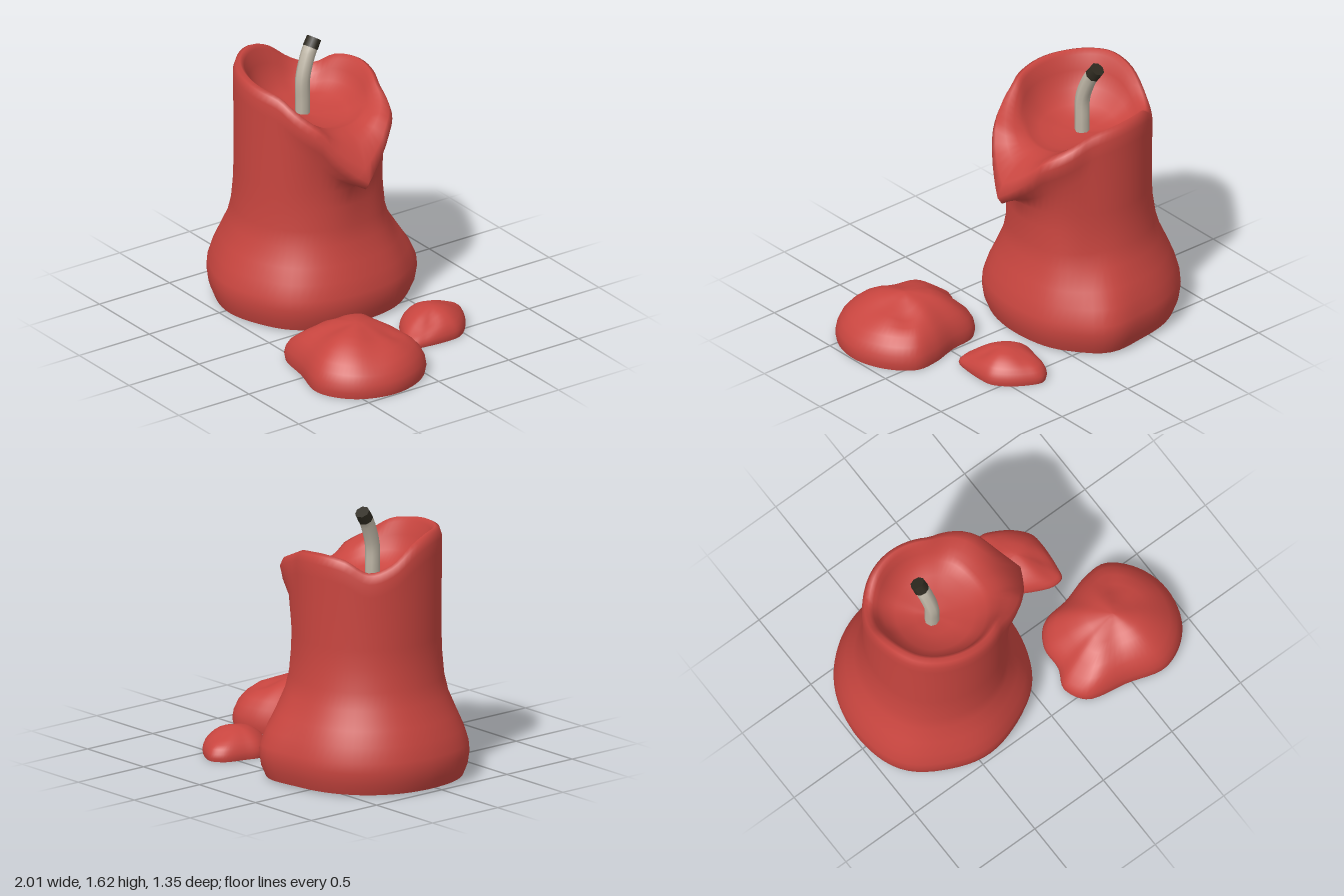
import * as THREE from 'three';

const V = (x, y, z) => new THREE.Vector3(x, y, z);
const mix = THREE.MathUtils.lerp;
const smooth = THREE.MathUtils.smoothstep;
const bump = (s, centre, width) => Math.exp(-(((s - centre) / width) ** 2));
const N = 72;

// Skin a list of closed rings (each N points, ordered from +x towards +z).
function loft(rings) {
  const pos = [], index = [];
  rings.forEach(ring => ring.forEach(p => pos.push(p.x, p.y, p.z)));
  for (let r = 0; r < rings.length - 1; r++) {
    for (let i = 0; i < N; i++) {
      const a = r * N + i, b = r * N + (i + 1) % N;
      index.push(a, a + N, b, b, a + N, b + N);
    }
  }
  const g = new THREE.BufferGeometry();
  g.setAttribute('position', new THREE.Float32BufferAttribute(pos, 3));
  g.setIndex(index);
  g.computeVertexNormals();
  return g;
}

// Rim height every 20 degrees, starting at the pouring lip (+x) towards +z.
const rimCurve = new THREE.CatmullRomCurve3(
  [1.21, 1.25, 1.34, 1.43, 1.46, 1.48, 1.49, 1.5, 1.5, 1.45, 1.35, 1.31, 1.38, 1.4, 1.39, 1.36, 1.29, 1.22]
    .map(h => V(0, h, 0)), true, 'catmullrom');

function candleBody() {
  // f returns [radius, height]; w is the lip's reach, d its droop, s the angle
  const ring = f => Array.from({ length: N }, (_, i) => {
    const t = i / N, a = t * Math.PI * 2;
    const s = a > Math.PI ? a - Math.PI * 2 : a;
    const w = Math.max(0, 1 - Math.abs(s));
    const d = Math.max(0, 1 - Math.abs(s) / 0.45);
    const [r, y] = f(rimCurve.getPoint(t).y, w, d);
    const k = smooth(y, 0.3, 0.8), foot = 1 - smooth(y, 0.2, 0.6);
    // uneven sagging of the foot and a slight fullness higher up
    const swell = 1 + foot * (0.13 * bump(s, -1.12, 0.3) + 0.03 * bump(s, 2.5, 0.4)
      + 0.05 * bump(s, 0.75, 0.4) + 0.04 * bump(s, 1.6, 0.4))
      + 0.065 * bump(s, -0.63, 0.35) + 0.025 * bump(s, 2.5, 0.4)
      + 0.05 * bump(s, 0, 0.3) * bump(y, 0.86, 0.12);
    return V(mix(-0.44, -0.42, k) + swell * r * Math.cos(a), y, mix(-0.085, -0.07, k) + swell * r * Math.sin(a));
  });
  const wall = [[0, 0.015], [0.53, 0.015], [0.53, 0.015], [0.555, 0.08], [0.565, 0.15], [0.56, 0.21],
    [0.535, 0.3], [0.5, 0.39], [0.458, 0.5], [0.437, 0.6], [0.425, 0.74], [0.422, 0.85]];
  const rings = wall.map(p => ring(() => p));
  // outer rim, lip, inner wall and sloping pool
  [
    (h, w, d) => [0.423 + 0.05 * w, mix(h - 0.24, 0.89, d)],
    (h, w, d) => [0.425 + 0.14 * w, mix(h - 0.14, 0.9, d)],
    (h, w, d) => [0.425 + 0.18 * w, mix(h - 0.06, 0.95, d)],
    (h, w, d) => [0.41 + 0.17 * w, mix(h - 0.012, 1.03, d)],
    (h, w, d) => [0.385 + 0.11 * w, mix(h, 1.14, d)],
    (h, w) => [0.36 + 0.05 * w, h - 0.025],
    h => [0.335, mix(1.17, h, 0.65)],
    h => [0.3, mix(1.17, h, 0.35)],
    h => [0.23, mix(1.16, h, 0.15)],
    h => [0.12, mix(1.16, h, 0.04)],
    () => [0, 1.16],
  ].forEach(f => rings.push(ring(f)));
  return loft(rings);
}

// Flat-bottomed wax drip from a ground outline; dents are [x, z, radius, depth].
function waxDrip(outline, [cx, cz], height, dents) {
  const curve = new THREE.CatmullRomCurve3(outline.map(([x, z]) => V(x, 0, z)), true);
  const edge = Array.from({ length: N }, (_, i) => curve.getPoint(i / N));
  const profile = [[0, 0], [0.98, 0], [0.98, 0], [1, 0.13], [0.98, 0.28], [0.92, 0.45], [0.82, 0.6],
    [0.68, 0.75], [0.52, 0.87], [0.37, 0.94], [0.2, 0.98], [0.08, 1], [0, 1]];
  return loft(profile.map(([s, t]) => edge.map(p => {
    const x = mix(cx, p.x, s), z = mix(cz, p.z, s);
    let y = t * height;
    for (const [dx, dz, r, d] of dents) y -= t * d * Math.exp(-((x - dx) ** 2 + (z - dz) ** 2) / (r * r));
    return V(x, 0.003 + y, z);
  })));
}

export function createModel() {
  const material = (name, color) => {
    const m = new THREE.MeshStandardMaterial({ color });
    m.name = name;
    return m;
  };
  const wax = material('red wax', 0xc8453f);
  const cotton = material('wick cotton', 0xbdb5a5);
  const char = material('burnt wick', 0x2e2a20);

  const model = new THREE.Group();
  model.name = 'candle';
  const add = (name, geometry, mat) => {
    const mesh = new THREE.Mesh(geometry, mat);
    mesh.name = name;
    model.add(mesh);
    return mesh;
  };

  add('candleBody', candleBody(), wax);

  add('largeDrip', waxDrip(
    [[1, 0.3], [0.95, 0.5], [0.84, 0.62], [0.7, 0.67], [0.47, 0.61], [0.22, 0.55], [0.15, 0.42],
      [0.2, 0.3], [0.21, 0.15], [0.3, 0.03], [0.48, 0], [0.65, -0.05], [0.8, -0.05], [0.94, 0.09]],
    [0.6, 0.3], 0.31, [[0.72, 0.14, 0.09, 0.05], [0.5, 0.42, 0.1, 0.03], [0.2, 0.4, 0.16, 0.08],
      [0.25, 0.15, 0.12, 0.05], [0.9, 0.35, 0.14, 0.03], [0.74, 0.28, 0.08, 0.025]]), wax);

  add('smallDrip', waxDrip(
    [[0.59, -0.37], [0.58, -0.22], [0.56, -0.14], [0.5, -0.125], [0.4, -0.16], [0.27, -0.24], [0.2, -0.35],
      [0.22, -0.45], [0.26, -0.58], [0.33, -0.63], [0.42, -0.6], [0.52, -0.53], [0.58, -0.45]],
    [0.4, -0.38], 0.16, [[0.36, -0.52, 0.07, 0.02], [0.54, -0.18, 0.1, 0.06], [0.5, -0.3, 0.05, 0.02]]), wax);

  // bent wick with a burnt tip
  const path = new THREE.CatmullRomCurve3([V(-0.45, 1.1, -0.06), V(-0.45, 1.24, -0.06), V(-0.452, 1.38, -0.062),
    V(-0.465, 1.52, -0.11), V(-0.472, 1.565, -0.138)]);
  add('wick', new THREE.TubeGeometry(path, 16, 0.044, 8), cotton);
  const tip = add('burntTip', new THREE.CylinderGeometry(0.044, 0.046, 0.062, 8), char);
  tip.position.set(-0.475, 1.576, -0.146);
  tip.quaternion.setFromUnitVectors(V(0, 1, 0), V(-0.01, 0.06, -0.04).normalize());

  return model;
}
